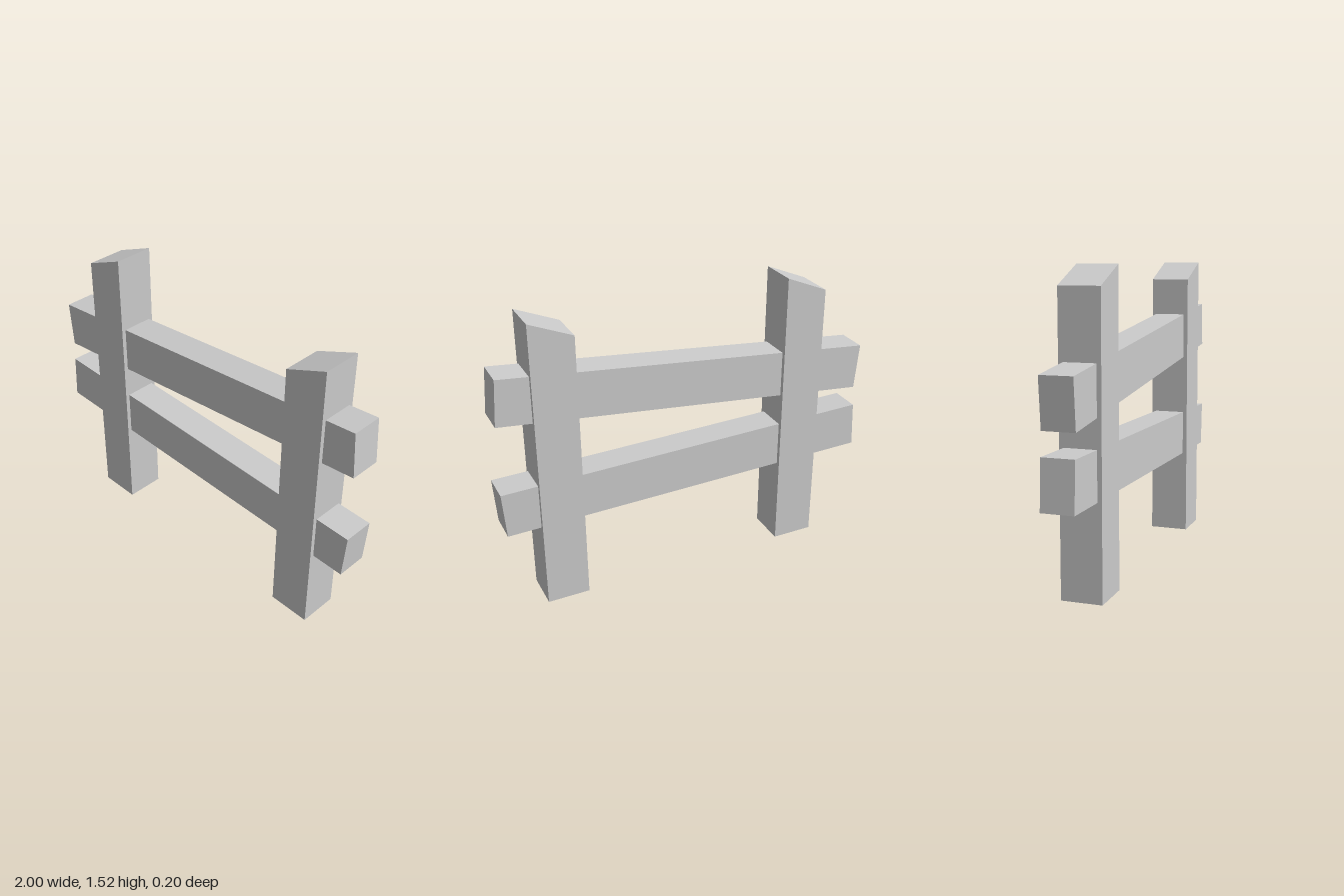
import * as THREE from 'three';

const material = new THREE.MeshStandardMaterial({ color: 0xcccccc, flatShading: true });

// Solid timber: a front outline (counter-clockwise) given thickness centred on z = 0
function timber(name, corners, depth) {
  const shape = new THREE.Shape(corners.map(([x, y]) => new THREE.Vector2(x, y)));
  const geometry = new THREE.ExtrudeGeometry(shape, { depth, bevelEnabled: false });
  geometry.translate(0, 0, -depth / 2);
  const mesh = new THREE.Mesh(geometry, material);
  mesh.name = name;
  return mesh;
}

export function createModel() {
  const fence = new THREE.Group();
  fence.name = 'fence';

  // Upright posts with slanted tops
  const postWidth = 0.22;
  for (const [name, x] of [['rightPost', -0.738], ['leftPost', 0.594]]) {
    fence.add(timber(name, [
      [x, 0], [x + postWidth, 0], [x + postWidth, 1.525], [x, 1.432],
    ], 0.204));
  }

  // Crooked rails running through the posts
  fence.add(timber('upperRail', [
    [-0.977, 0.83], [0.992, 1.042], [0.975, 1.279], [-0.998, 1.07],
  ], 0.16));
  fence.add(timber('lowerRail', [
    [-1, 0.479], [0.984, 0.441], [1, 0.677], [-0.987, 0.719],
  ], 0.16));

  return fence;
}
